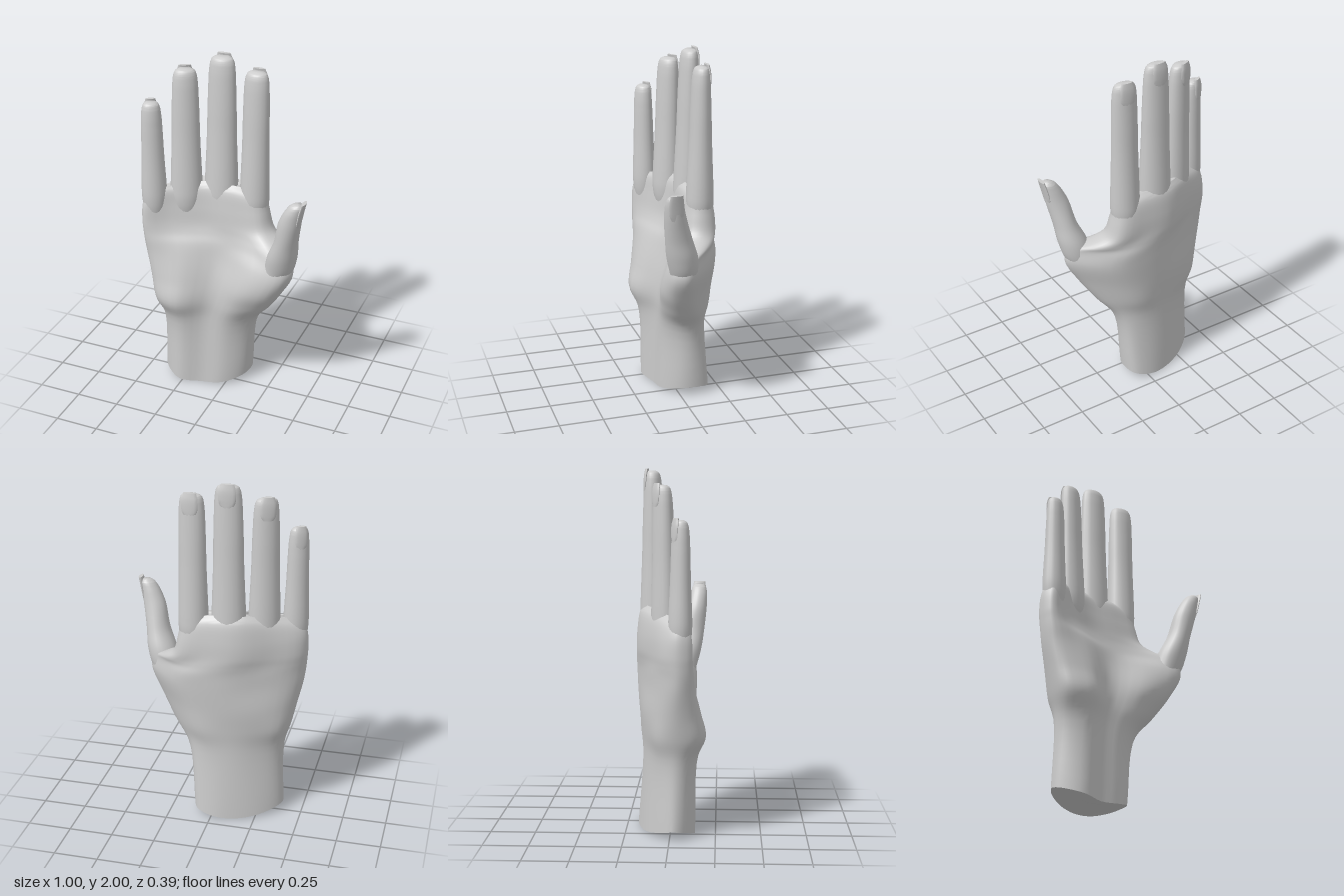
import * as THREE from 'three';
import { toCreasedNormals } from 'three/addons/utils/BufferGeometryUtils.js';

const material = new THREE.MeshStandardMaterial({ color: 0xcccccc });
const V = (x, y, z) => new THREE.Vector3(x, y, z);
const { lerp } = THREE.MathUtils;

// Skin a stack of equal rings (bottom to top) and close both ends with a fan.
function loft(name, rings) {
  const n = rings[0].length, pos = [], index = [];
  for (const ring of rings) for (const p of ring) pos.push(p.x, p.y, p.z);
  for (let i = 0; i < rings.length - 1; i++) {
    for (let j = 0; j < n; j++) {
      const a = i * n + j, b = i * n + (j + 1) % n;
      index.push(a, a + n, b, b, a + n, b + n);
    }
  }
  const cap = (i, up) => {
    const c = rings[i].reduce((s, p) => s.add(p), V(0, 0, 0)).divideScalar(n);
    const ci = pos.length / 3;
    pos.push(c.x, c.y, c.z);
    for (let j = 0; j < n; j++) {
      const a = i * n + j, b = i * n + (j + 1) % n;
      if (up) index.push(ci, b, a); else index.push(ci, a, b);
    }
  };
  cap(0, false);
  cap(rings.length - 1, true);
  const geo = new THREE.BufferGeometry();
  geo.setAttribute('position', new THREE.Float32BufferAttribute(pos, 3));
  geo.setIndex(index);
  const mesh = new THREE.Mesh(toCreasedNormals(geo, 1.0), material);
  mesh.name = name;
  return mesh;
}

// Elliptical tube through keys [x, y, z, halfWidth, halfDepth], turned by r about y.
function ellipseTube(name, keys, r, steps, sides) {
  const path = new THREE.CatmullRomCurve3(keys.map(k => V(k[0], k[1], k[2])));
  const size = new THREE.CatmullRomCurve3(keys.map((k, i) => V(k[3], k[4], i * 0.1)));
  const rings = [];
  for (let i = 0; i <= steps; i++) {
    const c = path.getPoint(i / steps), s = size.getPoint(i / steps), ring = [];
    for (let j = 0; j < sides; j++) {
      const a = j / sides * Math.PI * 2;
      const u = s.x * Math.cos(a), v = s.y * Math.sin(a);
      ring.push(V(c.x + u * Math.cos(r) - v * Math.sin(r), c.y, c.z + u * Math.sin(r) + v * Math.cos(r)));
    }
    rings.push(ring);
  }
  return loft(name, rings);
}

// Palm and wrist: y, left and right x, then back and front z at five stations across.
const stations = [0.05, 0.25, 0.5, 0.75, 0.95];
const palmLevels = [
  [0.00, -0.39, 0.11, [-0.03, -0.11, -0.165, -0.19, -0.165], [0.075, 0.138, 0.10, 0.08, 0.0]],
  [0.43, -0.385, 0.155, [-0.03, -0.10, -0.15, -0.16, -0.12], [0.105, 0.15, 0.09, 0.08, 0.01]],
  [0.56, -0.42, 0.25, [-0.05, -0.12, -0.165, -0.17, -0.08], [0.16, 0.195, 0.09, 0.105, 0.06]],
  [0.69, -0.45, 0.335, [-0.04, -0.13, -0.18, -0.165, -0.04], [0.145, 0.165, 0.07, 0.13, 0.11]],
  [0.83, -0.483, 0.405, [-0.025, -0.12, -0.19, -0.17, -0.02], [0.13, 0.125, 0.035, 0.105, 0.125]],
  [0.91, -0.495, 0.385, [-0.02, -0.115, -0.19, -0.18, -0.03], [0.13, 0.10, 0.02, 0.05, 0.105]],
  [0.965, -0.50, 0.30, [-0.02, -0.105, -0.187, -0.188, -0.12], [0.128, 0.08, 0.01, 0.015, 0.03]],
  [1.02, -0.503, 0.23, [-0.02, -0.10, -0.185, -0.19, -0.165], [0.127, 0.07, 0.003, 0.0, -0.015]],
  [1.12, -0.498, 0.20, [-0.01, -0.095, -0.18, -0.187, -0.168], [0.122, 0.055, -0.005, -0.012, -0.035]],
];
const knuckles = palmLevels.length - 1;

function palm() {
  const sides = 48, steps = 55;
  // Above the knuckles the outline draws in, so the fingers grow out of it.
  const [, left, right, backZ, frontZ] = palmLevels[knuckles];
  const inset = (y, k) => [y, left + k, right - k, backZ.map(z => z + k), frontZ.map(z => z - k)];
  const levels = [...palmLevels, inset(1.19, 0.018), inset(1.225, 0.045)];
  const loops = levels.map(([y, x0, x1, back, front], level) => {
    const at = (u, z) => {
      // The wrist end sags in the middle; the webs rise towards the middle finger.
      const sag = level === 0 ? 0.05 * (2 * u - 1) ** 2 : 0;
      const rise = level > knuckles ? 0.055 * Math.sin(Math.PI * u * 0.85) - 0.015 : 0;
      return V(x0 + (x1 - x0) * u, y + sag + rise, z);
    };
    const f = stations.map((u, i) => at(u, front[i]));
    const b = stations.map((u, i) => at(u, back[i]));
    const points = [at(1, (back[4] + front[4]) / 2), ...f.reverse(), at(0, (back[0] + front[0]) / 2), ...b];
    return new THREE.CatmullRomCurve3(points, true).getPoints(sides).slice(0, sides);
  });
  // Smooth lengthwise curves through matching points of the loops.
  const ribs = loops[0].map((_, j) => new THREE.CatmullRomCurve3(loops.map(l => l[j])));
  const rings = [];
  for (let i = 0; i <= steps; i++) rings.push(ribs.map(c => c.getPoint(i / steps)));
  return loft('palmAndWrist', rings);
}

function finger({ name, base, tip, top, w, d, r }) {
  const group = new THREE.Group();
  group.name = name;
  const y0 = 1.06;
  const key = (y, k) => {
    const t = (y - y0) / (top - y0);
    const width = lerp(w[0], w[1], t), depth = lerp(d[0], d[1], t);
    // Where the tip narrows it leans to the back, under the nail.
    const lean = y > 1.5 ? (1 - k) * depth * 0.3 : 0;
    return [
      lerp(base[0], tip[0], t) + Math.sin(r) * lean, y,
      lerp(base[1], tip[1], t) - Math.cos(r) * lean, width * k, depth * k];
  };
  const mid = (y0 + top) / 2;
  group.add(ellipseTube('flesh', [
    key(y0, 0.7), key(1.13, 0.92), key(1.21, 1.01), key(mid, 0.99), key(mid + 0.18, 1.01), key(top - 0.1, 1),
    key(top - 0.045, 0.93), key(top - 0.02, 0.78), key(top - 0.01, 0.5)], r, 48, 20));
  // Nail set into the back of the tip, ending in a blunt edge.
  const nailKey = (y, out, width) => [
    tip[0] + Math.sin(r) * d[1] * out, y, tip[1] - Math.cos(r) * d[1] * out, width * w[1], 0.011];
  group.add(ellipseTube('nail', [
    nailKey(top - 0.125, 0.84, 0.45), nailKey(top - 0.1, 0.86, 0.62),
    nailKey(top - 0.04, 0.82, 0.66), nailKey(top, 0.66, 0.5)], r, 9, 14));
  return group;
}

function thumb() {
  const group = new THREE.Group();
  group.name = 'thumb';
  group.add(ellipseTube('flesh', [
    [0.24, 0.72, 0.035, 0.05, 0.055], [0.315, 0.84, 0.052, 0.08, 0.075],
    [0.348, 0.95, 0.072, 0.083, 0.085], [0.378, 1.06, 0.10, 0.066, 0.074], [0.405, 1.19, 0.128, 0.064, 0.06],
    [0.43, 1.27, 0.14, 0.052, 0.05], [0.447, 1.31, 0.143, 0.04, 0.04], [0.453, 1.325, 0.143, 0.024, 0.026],
  ], 0.15, 40, 22));
  group.add(ellipseTube('nail', [
    [0.456, 1.19, 0.137, 0.026, 0.01], [0.462, 1.22, 0.138, 0.038, 0.011],
    [0.474, 1.28, 0.142, 0.041, 0.012], [0.489, 1.338, 0.145, 0.034, 0.011]], Math.PI / 2, 9, 14));
  return group;
}

const fingers = [
  { name: 'littleFinger', base: [-0.427, 0.06], tip: [-0.433, 0.063], top: 1.745, w: [0.075, 0.053], d: [0.066, 0.042], r: -0.5 },
  { name: 'ringFinger', base: [-0.268, -0.025], tip: [-0.273, -0.04], top: 1.925, w: [0.094, 0.067], d: [0.076, 0.046], r: -0.45 },
  { name: 'middleFinger', base: [-0.085, -0.093], tip: [-0.08, -0.102], top: 2.0, w: [0.1, 0.072], d: [0.083, 0.046], r: -0.08 },
  { name: 'indexFinger', base: [0.112, -0.103], tip: [0.118, -0.106], top: 1.94, w: [0.086, 0.069], d: [0.081, 0.046], r: 0.03 },
];

export function createModel() {
  const hand = new THREE.Group();
  hand.name = 'hand';
  hand.add(palm(), thumb(), ...fingers.map(finger));
  return hand;
}
